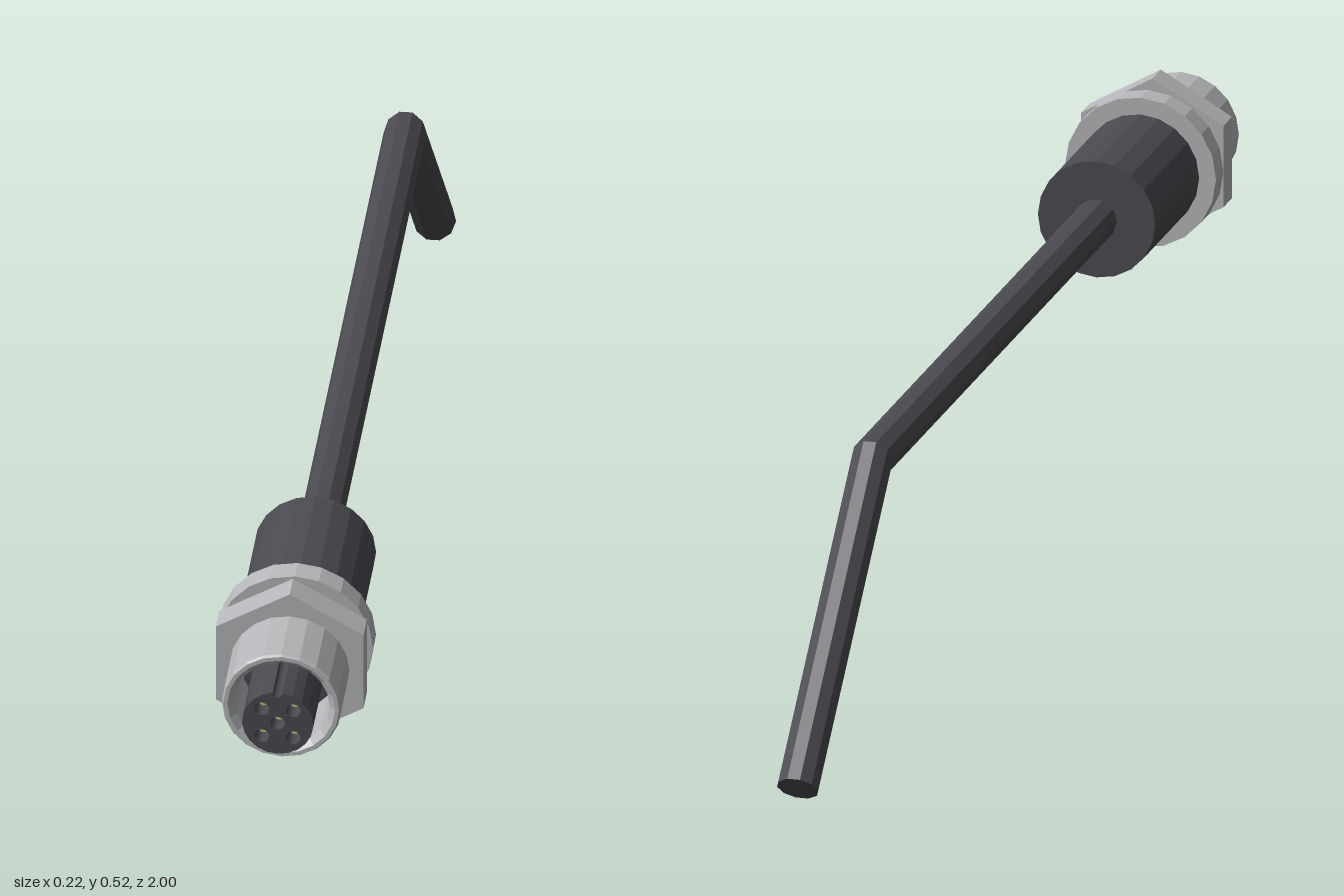
import * as THREE from 'three';

const Y = 0.397; // height of the connector axis

export function createModel() {
  const group = new THREE.Group();
  const mat = (name, color, extra = {}) =>
    Object.assign(new THREE.MeshStandardMaterial({ color, flatShading: true, ...extra }), { name });
  const plastic = mat('dark plastic', 0x4a4a50);
  const metal = mat('nickel metal', 0xb6b7ba);
  const gold = mat('gold contact', 0xd2bd6c);

  const add = (name, geometry, material) => {
    const mesh = new THREE.Mesh(geometry, material);
    mesh.name = name;
    group.add(mesh);
    return mesh;
  };
  // Solid disc or prism along z, from z0 to z1
  const disc = (name, r, z0, z1, sides, material, x = 0, y = 0) => {
    const g = new THREE.CylinderGeometry(r, r, z1 - z0, sides).rotateX(Math.PI / 2);
    g.translate(x, Y + y, (z0 + z1) / 2);
    return add(name, g, material);
  };

  // Rear half: moulded body and flange
  disc('rearBody', 0.087, 0.525, 0.746, 20, plastic);
  disc('flange', 0.112, 0.746, 0.783, 20, metal);

  // Front half: hex nut and hollow shell
  disc('hexNut', 0.122, 0.805, 0.848, 6, metal);
  const profile = [
    [0.0855, 0.84], [0.0855, 0.951], [0.083, 0.955], [0.077, 0.955], [0.068, 0.945], [0.068, 0.84],
  ].map(([r, z]) => new THREE.Vector2(r, z));
  const shell = new THREE.LatheGeometry(profile, 20).rotateX(Math.PI / 2).translate(0, Y, 0);
  add('threadedShell', shell, metal);
  disc('shellFloor', 0.0675, 0.84, 0.855, 20, plastic);

  // Contact carrier with a key notch at the top and five sockets
  const R = 0.051, half = 0.14;
  const outline = new THREE.Shape();
  outline.absarc(0, 0, R, Math.PI / 2 + half, Math.PI * 2.5 - half, false);
  outline.absarc(0, R * Math.cos(half), R * Math.sin(half), 0, -Math.PI, true);
  const sockets = [[0, 0]];
  for (const x of [-1, 1]) for (const y of [-1, 1]) sockets.push([x * 0.0225, y * 0.0225]);
  for (const [x, y] of sockets) {
    const hole = new THREE.Path();
    hole.absarc(x, y, 0.0105, 0, Math.PI * 2, true);
    outline.holes.push(hole);
  }
  const carrier = new THREE.ExtrudeGeometry(outline, { depth: 0.15, bevelEnabled: false, curveSegments: 10 });
  add('contactCarrier', carrier.translate(0, Y, 0.85), plastic);
  for (const [x, y] of sockets) {
    disc('socketFloor', 0.0108, 0.955, 0.965, 12, plastic, x, y);
    disc('contactPin', 0.0065, 0.96, 0.98, 10, gold, x, y);
  }

  // Cable: ten-sided rings with a mitred 45 degree bend
  const sides = 10, r = 0.0305, s = Math.SQRT1_2;
  const rings = [
    { y: Y, z: 0.53, up: [1, 0] },
    { y: Y, z: -0.603, up: [1, -Math.tan(Math.PI / 8)] },
    { y: 0.0215, z: -0.9785, up: [s, -s] },
  ];
  const pos = [], index = [];
  for (const { y, z, up } of rings) {
    for (let i = 0; i < sides; i++) {
      const a = (i / sides) * Math.PI * 2, v = r * Math.sin(a);
      pos.push(r * Math.cos(a), y + v * up[0], z + v * up[1]);
    }
  }
  for (let k = 0; k < 2; k++) {
    for (let i = 0; i < sides; i++) {
      const a = k * sides + i, b = k * sides + ((i + 1) % sides);
      index.push(a, b, a + sides, b, b + sides, a + sides);
    }
  }
  // Cable end cap
  const last = 2 * sides;
  for (let i = 1; i < sides - 1; i++) index.push(last, last + i + 1, last + i);
  // Reverse walls and cap to face outward consistently
  const cable = new THREE.BufferGeometry();
  cable.setAttribute('position', new THREE.Float32BufferAttribute(pos, 3));
  cable.setIndex(orientOutward(index, pos));
  const flat = cable.toNonIndexed();
  flat.computeVertexNormals();
  add('cable', flat, plastic);

  return group;
}

// Flip any triangle whose normal points towards the middle of the cable
function orientOutward(index, pos) {
  const p = (i) => new THREE.Vector3().fromArray(pos, i * 3);
  const out = [];
  for (let t = 0; t < index.length; t += 3) {
    const [a, b, c] = index.slice(t, t + 3);
    const A = p(a), n = p(b).sub(A).cross(p(c).sub(A));
    const mid = A.clone().add(p(b)).add(p(c)).divideScalar(3);
    const cap = a >= 20 && b >= 20 && c >= 20;
    const first = Math.min(a, b, c) < 10;
    // Outward direction: along the cable at the cap, else away from its axis
    const drop = first ? 0 : Math.max(0, -0.603 - mid.z);
    const axis = new THREE.Vector3(0, Y - drop, mid.z);
    const dir = cap ? new THREE.Vector3(0, -1, -1) : mid.sub(axis);
    out.push(...(n.dot(dir) < 0 ? [a, c, b] : [a, b, c]));
  }
  return out;
}
